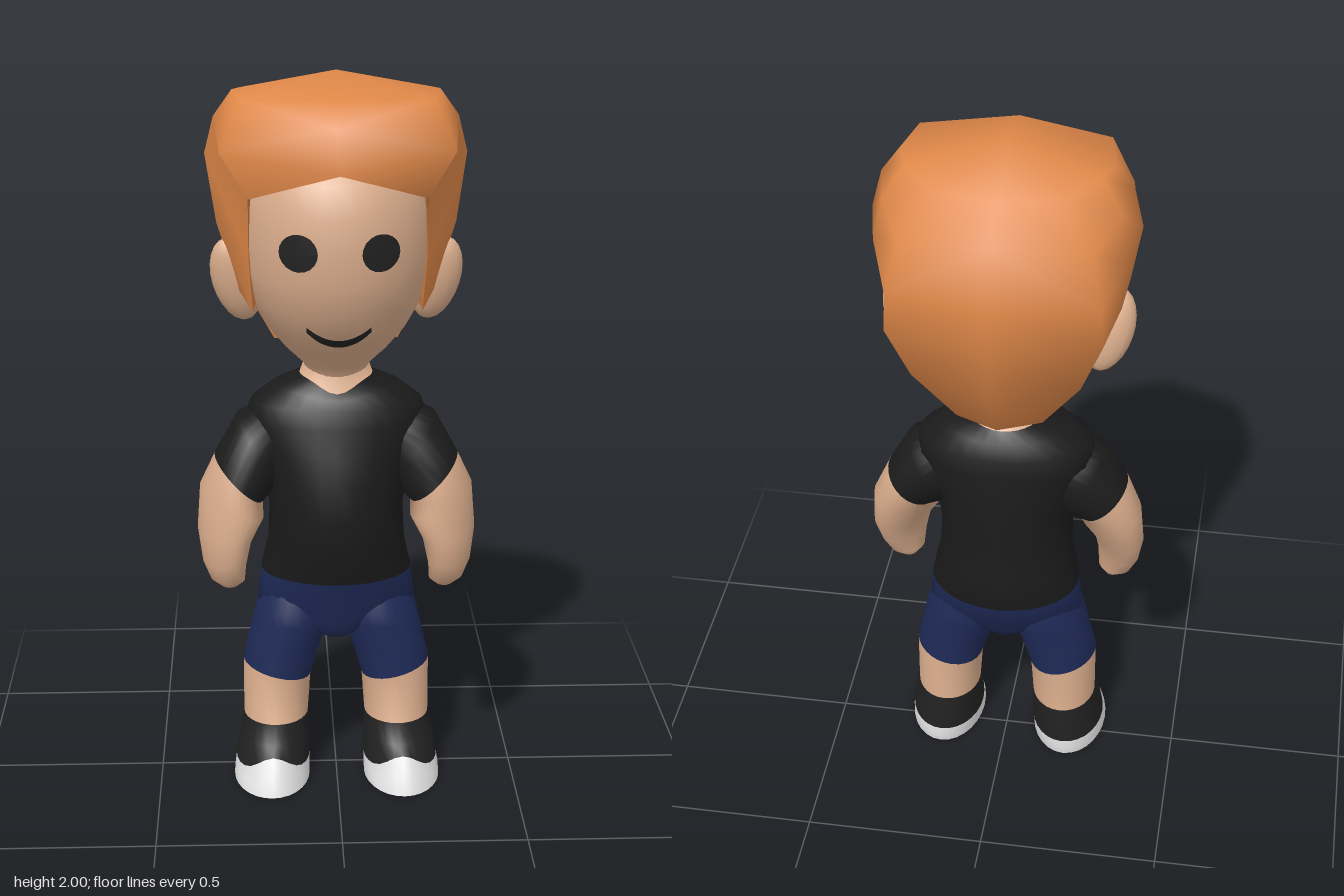
import * as THREE from 'three';
import { mergeVertices } from 'three/addons/utils/BufferGeometryUtils.js';

const mat = (name, color) => {
  const m = new THREE.MeshStandardMaterial({ color });
  m.name = name;
  return m;
};

// Skin through rings [x, y, z, rx, rz, tilt, frontLift, skew], listed top to bottom;
// bands holds one material per gap between rings. side -1 mirrors in x.
function loft(name, rings, bands, side = 1, segs = 28) {
  const pos = [], index = [];
  for (const [x, y, z, rx, rz, tilt = 0, lift = 0, skew = 0] of rings) {
    for (let i = 0; i < segs; i++) {
      const a = (i / segs) * Math.PI * 2, u = Math.cos(a) * rx, s = Math.sin(a);
      pos.push(
        x * side + u * Math.cos(tilt),
        y + u * Math.sin(tilt * side) + lift * Math.max(0, s) ** 6,
        z + s * rz - u * side * skew
      );
    }
  }
  const geo = new THREE.BufferGeometry();
  const mats = [...new Set(bands)];
  bands.forEach((m, r) => {
    geo.addGroup(index.length, segs * 6, mats.indexOf(m));
    for (let i = 0; i < segs; i++) {
      const j = (i + 1) % segs, a = r * segs + i, b = r * segs + j;
      index.push(a, b, a + segs, b, b + segs, a + segs);
    }
  });
  geo.setAttribute('position', new THREE.Float32BufferAttribute(pos, 3));
  geo.setIndex(index);
  geo.computeVertexNormals();
  const mesh = new THREE.Mesh(geo, mats);
  mesh.name = name;
  return mesh;
}

// Smooth geometry from triangles of the +x half, mirrored to the other half
function mirrored(tris) {
  const pos = [];
  for (const [a, b, c] of tris) {
    pos.push(...a, ...b, ...c);
    for (const p of [a, c, b]) pos.push(-p[0], p[1], p[2]);
  }
  let geo = new THREE.BufferGeometry();
  geo.setAttribute('position', new THREE.Float32BufferAttribute(pos, 3));
  geo = mergeVertices(geo, 1e-4);
  geo.computeVertexNormals();
  return geo;
}

const HEAD = [
  [0, 1.92, 0, 0, 0], [0, 1.88, 0, 0.13, 0.14], [0, 1.8, 0, 0.22, 0.23],
  [0, 1.74, 0.01, 0.25, 0.27], [0, 1.66, 0.01, 0.265, 0.295], [0, 1.57, 0.01, 0.268, 0.3],
  [0, 1.48, 0.015, 0.258, 0.285], [0, 1.4, 0.03, 0.232, 0.245], [0, 1.32, 0.035, 0.187, 0.19],
  [0, 1.26, 0.025, 0.14, 0.14], [0, 1.21, 0.015, 0.09, 0.095], [0, 1.17, 0.01, 0.08, 0.085],
];

// Depth of the face surface at (x, y)
function faceZ(x, y) {
  const i = HEAD.findIndex((r) => r[1] <= y), a = HEAD[i - 1], b = HEAD[i];
  const mix = (k) => THREE.MathUtils.lerp(b[k], a[k], (y - b[1]) / (a[1] - b[1]));
  return mix(2) + mix(4) * Math.sqrt(Math.max(0, 1 - (x / mix(3)) ** 2));
}

// Lay a flat shape onto the face
function facePlate(name, geo, material) {
  const p = geo.attributes.position;
  for (let i = 0; i < p.count; i++) p.setZ(i, faceZ(p.getX(i), p.getY(i)) + 0.006);
  geo.computeVertexNormals();
  const mesh = new THREE.Mesh(geo, material);
  mesh.name = name;
  return mesh;
}

function buildHair(material) {
  const top = [0, 2, 0.01];
  // Columns from the front centre round the side to the back, each running down
  const cols = [
    [top, [0, 1.95, 0.22], [0, 1.89, 0.3], [0, 1.78, 0.342]],
    [top, [0.25, 1.945, 0.15], [0.308, 1.81, 0.172], [0.235, 1.69, 0.18], [0.235, 1.53, 0.16], [0.225, 1.38, 0.14]],
    [top, [0.275, 1.95, 0.01], [0.325, 1.88, 0.01], [0.35, 1.78, 0], [0.32, 1.6, 0.04], [0.262, 1.42, 0.06]],
    [top, [0.25, 1.945, -0.06], [0.305, 1.86, -0.09], [0.33, 1.74, -0.1], [0.31, 1.58, -0.08], [0.256, 1.42, -0.02], [0.168, 1.27, 0]],
    [top, [0.17, 1.93, -0.15], [0.245, 1.81, -0.215], [0.275, 1.67, -0.243], [0.28, 1.56, -0.243], [0.222, 1.4, -0.2], [0.115, 1.235, -0.135]],
    [top, [0, 1.925, -0.18], [0, 1.85, -0.29], [0, 1.7, -0.34], [0, 1.57, -0.345], [0, 1.4, -0.305], [0, 1.23, -0.18]],
  ];
  const tris = [];
  for (let c = 0; c < cols.length - 1; c++) {
    const p = cols[c], q = cols[c + 1];
    for (let r = 0; r < Math.min(p.length, q.length) - 1; r++) {
      if (r > 0) tris.push([p[r], p[r + 1], q[r]]);
      tris.push([q[r], p[r + 1], q[r + 1]]);
    }
  }
  // Underside, running from the hairline in to the head
  const rim = [[0, 3], [1, 3], [1, 4], [1, 5], [2, 5], [3, 5], [3, 6], [4, 6], [5, 6]].map(([c, r]) => cols[c][r]);
  const inner = rim.map(([x, y, z]) => [x * 0.93, y + 0.03, z * 0.6]);
  const under = [];
  for (let i = 0; i < rim.length - 1; i++) {
    under.push([rim[i], inner[i], rim[i + 1]], [rim[i + 1], inner[i], inner[i + 1]]);
  }
  const hair = new THREE.Group();
  hair.name = 'hair';
  [['hairShell', tris], ['hairUnderside', under]].forEach(([name, t]) => {
    const mesh = new THREE.Mesh(mirrored(t), material);
    mesh.name = name;
    hair.add(mesh);
  });
  return hair;
}

export function createModel() {
  const skin = mat('skin', 0xdcae8d), orange = mat('hairOrange', 0xde8748);
  const shirt = mat('shirtBlack', 0x1b1b1b), navy = mat('shortsNavy', 0x1f2b58);
  const dark = mat('shoeBlack', 0x222222), white = mat('shoeWhite', 0xe6e6e6);
  const model = new THREE.Group();
  model.name = 'boy';

  // Head and hair
  model.add(loft('head', HEAD, Array(HEAD.length - 1).fill(skin), 1, 36), buildHair(orange));

  // Smile: a strip bent upward, thinner at the ends
  const smile = new THREE.PlaneGeometry(2, 2, 20, 2);
  const sp = smile.attributes.position;
  for (let i = 0; i < sp.count; i++) {
    const t = sp.getX(i);
    sp.setXY(i, 0.085 * t, 1.311 + 0.042 * t * t + sp.getY(i) * (0.012 - 0.004 * t * t));
  }
  model.add(facePlate('mouth', smile, dark));

  // Neck, shirt and seat of the shorts
  model.add(loft('torso', [
    [0, 1.22, 0.01, 0.085, 0.085], [0, 1.175, 0, 0.1, 0.11, 0, -0.035],
    [0, 1.145, -0.005, 0.175, 0.13, 0, -0.02], [0, 1.1, -0.005, 0.235, 0.147],
    [0, 1.05, -0.003, 0.252, 0.157], [0, 0.97, 0.004, 0.222, 0.17],
    [0, 0.9, 0.01, 0.198, 0.18], [0, 0.8, 0.015, 0.185, 0.187],
    [0, 0.7, 0.005, 0.19, 0.18], [0, 0.605, -0.015, 0.21, 0.17],
    [0, 0.5, -0.005, 0.222, 0.12], [0, 0.45, 0, 0.14, 0.1], [0, 0.42, 0, 0.05, 0.08], [0, 0.41, 0, 0, 0],
  ], [skin, ...Array(8).fill(shirt), ...Array(4).fill(navy)]));

  for (const side of [1, -1]) {
    const label = side > 0 ? 'left' : 'right';

    const eye = new THREE.CircleGeometry(0.05, 20).translate(0.107 * side, 1.57, 0);
    model.add(facePlate(label + 'Eye', eye, dark));

    const ear = new THREE.Mesh(new THREE.SphereGeometry(1, 16, 12), skin);
    ear.name = label + 'Ear';
    ear.scale.set(0.065, 0.122, 0.043);
    ear.position.set(0.27 * side, 1.442, 0.025);
    ear.rotation.set(0.2, 0, -0.25 * side);
    model.add(ear);

    // Sleeve, forearm and hand
    model.add(loft(label + 'Arm', [
      [0.1, 1.03, 0, 0, 0, 1.2], [0.155, 1.01, 0, 0.098, 0.1, 1.2], [0.21, 0.965, 0.008, 0.115, 0.117, 1],
      [0.27, 0.885, 0.033, 0.09, 0.115, 0.75, 0, 0.2], [0.29, 0.82, 0.043, 0.095, 0.108, 0.4, 0, 0.4],
      [0.311, 0.73, 0.064, 0.075, 0.09, 0.1, 0, 0.5], [0.312, 0.65, 0.078, 0.06, 0.066, 0, 0, 0.4],
      [0.303, 0.6, 0.075, 0.047, 0.046, 0, 0, 0.2], [0.298, 0.58, 0.072, 0.022, 0.026], [0.298, 0.577, 0.072, 0, 0],
    ], [shirt, shirt, shirt, ...Array(6).fill(skin)], side));

    // Trouser leg, shin and shoe; repeated rings keep the sole edge crisp
    const sole = [0.185, 0, 0.062, 0.107, 0.173];
    model.add(loft(label + 'Leg', [
      [0.11, 0.57, -0.01, 0.085, 0.1], [0.118, 0.5, -0.004, 0.106, 0.117], [0.124, 0.46, 0, 0.11, 0.115],
      [0.143, 0.4, 0, 0.105, 0.111], [0.168, 0.31, 0.003, 0.098, 0.108, 0.25], [0.172, 0.17, 0.005, 0.091, 0.113],
      [0.177, 0.125, 0.026, 0.098, 0.139], [0.182, 0.05, 0.037, 0.104, 0.15, 0, 0.05],
      [0.184, 0.025, 0.052, 0.106, 0.168, 0, 0.02], sole, sole, [0.185, 0, 0.062, 0, 0],
    ], [navy, navy, navy, navy, skin, dark, dark, white, white, skin, skin], side));
  }
  return model;
}
